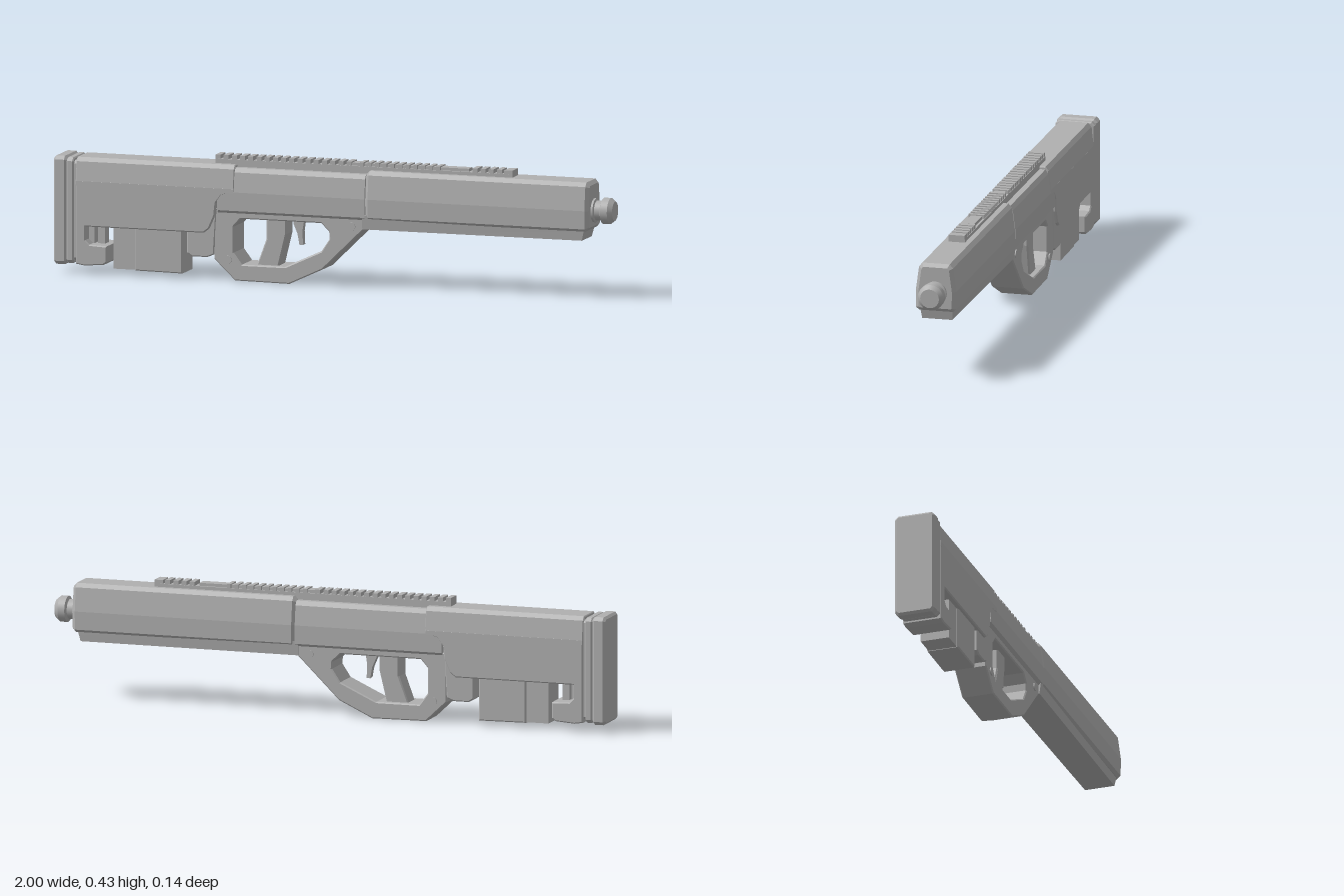
import * as THREE from 'three';

export function createModel() {
  const root = new THREE.Group();
  const grey = new THREE.MeshStandardMaterial({ color: 0xb0b0b0 });
  grey.name = 'grey';

  const add = (name, geometry, x = 0, y = 0, z = 0) => {
    const mesh = new THREE.Mesh(geometry, grey);
    mesh.name = name;
    mesh.position.set(x, y, z);
    root.add(mesh);
    return mesh;
  };
  const box = (name, x0, x1, y0, y1, half) =>
    add(name, new THREE.BoxGeometry(x1 - x0, y1 - y0, half * 2), (x0 + x1) / 2, (y0 + y1) / 2);
  const toShape = (pts) => new THREE.Shape(pts.map(([x, y]) => new THREE.Vector2(x, y)));
  const extrude = (shape, length, bevel) => new THREE.ExtrudeGeometry(shape, {
    depth: length - 2 * bevel, bevelEnabled: bevel > 0, bevelSize: bevel,
    bevelThickness: bevel, bevelOffset: -bevel, bevelSegments: 1, curveSegments: 8,
  });

  // Side outline given in x, y and extruded across the width
  const plate = (name, pts, half, bevel = 0, hole = null) => {
    const shape = toShape(pts);
    if (hole) shape.holes.push(toShape(hole));
    return add(name, extrude(shape, half * 2, bevel).translate(0, 0, bevel - half));
  };
  // Mirrored cross-section given as half width, y and extruded along x
  const beam = (name, x0, x1, section, bevel = 0) => {
    const mirrored = section.map(([w, y]) => [-w, y]).reverse();
    const geometry = extrude(toShape([...section, ...mirrored]), x1 - x0, bevel);
    return add(name, geometry.translate(0, 0, bevel).rotateY(Math.PI / 2), x0);
  };

  // Butt pad and the spacer in front of it
  const padSection = (w, y0, y1, c) => [[w - c, y0], [w, y0 + c], [w, y1 - c], [w - c, y1]];
  beam('buttPad', -1, -0.953, padSection(0.072, 0.03, 0.404, 0.012), 0.008);
  beam('buttSpacer', -0.953, -0.928, padSection(0.07, 0.035, 0.4, 0.012), 0.004);
  beam('buttJoint', -0.935, -0.91, padSection(0.06, 0.045, 0.39, 0.01));

  // Stock: tapered top and lower sides with a rear hook
  beam('stockTop', -0.92, -0.35, [[0.07, 0.305], [0.07, 0.32], [0.061, 0.388], [0.05, 0.402]], 0.003);
  plate('stockSides', [
    [-0.92, 0.035], [-0.89, 0.03], [-0.82, 0.035], [-0.808, 0.045], [-0.808, 0.1], [-0.87, 0.103],
    [-0.885, 0.118], [-0.885, 0.165], [-0.46, 0.165], [-0.44, 0.18], [-0.42, 0.225], [-0.415, 0.27],
    [-0.395, 0.297], [-0.35, 0.31], [-0.35, 0.325], [-0.92, 0.325],
  ], 0.07, 0.004);
  box('hookPost', -0.855, -0.83, 0.095, 0.17, 0.02);
  box('hookRib', -0.89, -0.865, 0.1, 0.17, 0.03);

  // Magazine and the block in front of it
  box('magazineRear', -0.79, -0.7, 0.022, 0.18, 0.051);
  plate('magazineFront', [[-0.71, 0.02], [-0.54, 0.018], [-0.54, 0.18], [-0.71, 0.18]], 0.057, 0.004);
  plate('gripBlock', [
    [-0.522, 0.18], [-0.522, 0.092], [-0.505, 0.08], [-0.45, 0.08], [-0.425, 0.09], [-0.415, 0.25],
    [-0.45, 0.25],
  ], 0.06, 0.004);

  // Receiver and front housing
  beam('receiver', -0.41, 0.12, [[0.058, 0.237], [0.068, 0.246], [0.069, 0.31], [0.06, 0.378], [0.05, 0.393]]);
  beam('frontHousing', 0.12, 0.925, [[0.06, 0.238], [0.07, 0.247], [0.071, 0.31], [0.06, 0.392], [0.048, 0.406]], 0.012);

  // Handguard, narrowed at its front end
  const guardGeometry = new THREE.BoxGeometry(0.8, 0.05, 0.134);
  const p = guardGeometry.attributes.position;
  for (let i = 0; i < p.count; i++) {
    if (p.getX(i) > 0 && p.getY(i) < 0) p.setX(i, 0.388);
    if (p.getY(i) < 0) p.setZ(i, p.getZ(i) * 0.9);
    if (p.getX(i) > 0) p.setZ(i, p.getZ(i) * 0.88);
  }
  guardGeometry.computeVertexNormals();
  add('handguard', guardGeometry, 0.51, 0.23);

  // Grip frame with its opening, inner grip and trigger
  plate('gripFrame', [
    [-0.425, 0.245], [-0.425, 0.075], [-0.35, 0.004], [-0.155, 0.002], [-0.035, 0.058], [0.115, 0.205],
    [0.13, 0.245],
  ], 0.057, 0.004, [
    [-0.355, 0.19], [-0.355, 0.1], [-0.325, 0.06], [-0.17, 0.06], [-0.04, 0.12], [-0.01, 0.165],
    [-0.012, 0.19], [-0.04, 0.218], [-0.33, 0.218],
  ]);
  plate('innerGrip', [
    [-0.245, 0.225], [-0.245, 0.15], [-0.28, 0.055], [-0.2, 0.055], [-0.172, 0.17], [-0.172, 0.225],
  ], 0.035, 0.005);
  plate('trigger', [
    [-0.155, 0.225], [-0.155, 0.205], [-0.14, 0.17], [-0.133, 0.132], [-0.12, 0.132], [-0.122, 0.18],
    [-0.115, 0.225],
  ], 0.012);
  for (const [x, y] of [[-0.375, 0.075], [0.07, 0.212]]) {
    const screw = add('frameScrew', new THREE.CylinderGeometry(0.014, 0.014, 0.122, 16), x, y);
    screw.rotation.x = Math.PI / 2;
  }

  // Top rail with three groups of teeth
  box('railBase', -0.43, 0.64, 0.385, 0.417, 0.029);
  const teeth = (x0, count, pitch, width) => {
    for (let i = 0; i < count; i++) {
      const x = x0 + i * pitch;
      box('railTooth', x, x + width, 0.415, 0.431, 0.028);
    }
  };
  teeth(-0.43, 17, 0.0295, 0.018);
  box('railCentre', 0.06, 0.48, 0.41, 0.427, 0.02);
  teeth(0.09, 11, 0.0275, 0.014);
  teeth(0.495, 4, 0.0295, 0.018);
  box('railEnd', 0.61, 0.64, 0.41, 0.43, 0.028);

  // Muzzle turned around the barrel axis
  const muzzleProfile = [
    [0, 0.9], [0.041, 0.9], [0.041, 0.932], [0.034, 0.935], [0.034, 0.955], [0.045, 0.96],
    [0.045, 0.985], [0.033, 1], [0, 1],
  ].map(([r, x]) => new THREE.Vector2(r, x));
  // Each segment is its own lathe so the steps stay sharp
  for (let i = 1; i < muzzleProfile.length; i++) {
    const ring = new THREE.LatheGeometry([muzzleProfile[i - 1], muzzleProfile[i]], 32);
    add('muzzle', ring.rotateZ(-Math.PI / 2), 0, 0.304);
  }
  return root;
}
